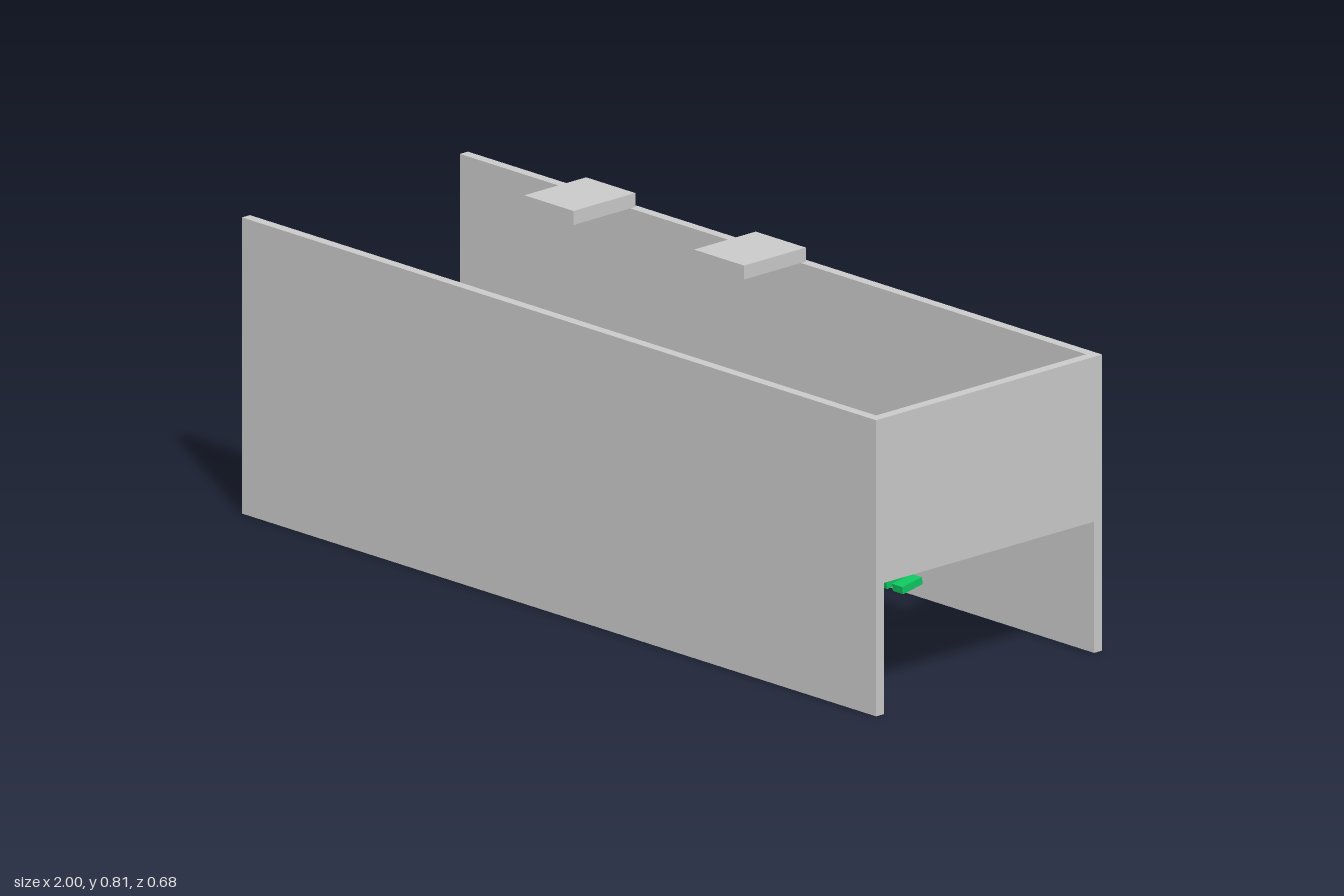
import * as THREE from 'three';

const grey = new THREE.MeshStandardMaterial({ color: 0xcccccc, flatShading: true });
const green = new THREE.MeshStandardMaterial({ color: 0x10c860, flatShading: true });

// Box given by its minimum and maximum corners
function slab(name, [x0, y0, z0], [x1, y1, z1], material = grey) {
  const mesh = new THREE.Mesh(new THREE.BoxGeometry(x1 - x0, y1 - y0, z1 - z0), material);
  mesh.position.set((x0 + x1) / 2, (y0 + y1) / 2, (z0 + z1) / 2);
  mesh.name = name;
  return mesh;
}

export function createModel() {
  const model = new THREE.Group();
  model.name = 'openTrough';

  // Long walls, standing on the ground
  model.add(slab('frontWall', [-1, 0, 0.316], [1, 0.677, 0.34]));
  model.add(slab('backWall', [-1, 0, -0.34], [1, 0.677, -0.316]));

  // Raised end wall; the opposite end stays open
  model.add(slab('endWall', [0.975, 0.3, -0.34], [1, 0.677, 0.34]));

  // Shelf across each end
  model.add(slab('leftShelf', [0.84, 0.3, -0.34], [1, 0.333, 0.34]));
  model.add(slab('rightShelf', [-1, 0.3, -0.34], [-0.84, 0.333, 0.34]));

  // Floating steps: two above the walls, the rest at shelf height
  const steps = new THREE.Group();
  steps.name = 'floatingSteps';
  const spans = [
    [-0.7, -0.545, 0.31], [-0.385, -0.23, 0.78], [-0.11, 0.048, 0.31],
    [0.15, 0.308, 0.78], [0.43, 0.7, 0.31],
  ];
  spans.forEach(([x0, x1, y], i) =>
    steps.add(slab(`step${i + 1}`, [x0, y, -0.109], [x1, y + 0.032, 0.077])));
  model.add(steps);

  // Tilted row of small plain green bars low in the middle
  const row = new THREE.Group();
  row.name = 'greenBars';
  const count = 23;
  for (let i = 0; i < count; i++) {
    const x = -0.4 + (1.15 * i) / count;
    row.add(slab(`bar${i + 1}`, [x, -0.0085, -0.03], [x + 0.032, 0.0085, 0.03], green));
  }
  row.position.set(0, 0.156, -0.025);
  row.rotation.x = 0.16;
  model.add(row);

  return model;
}
